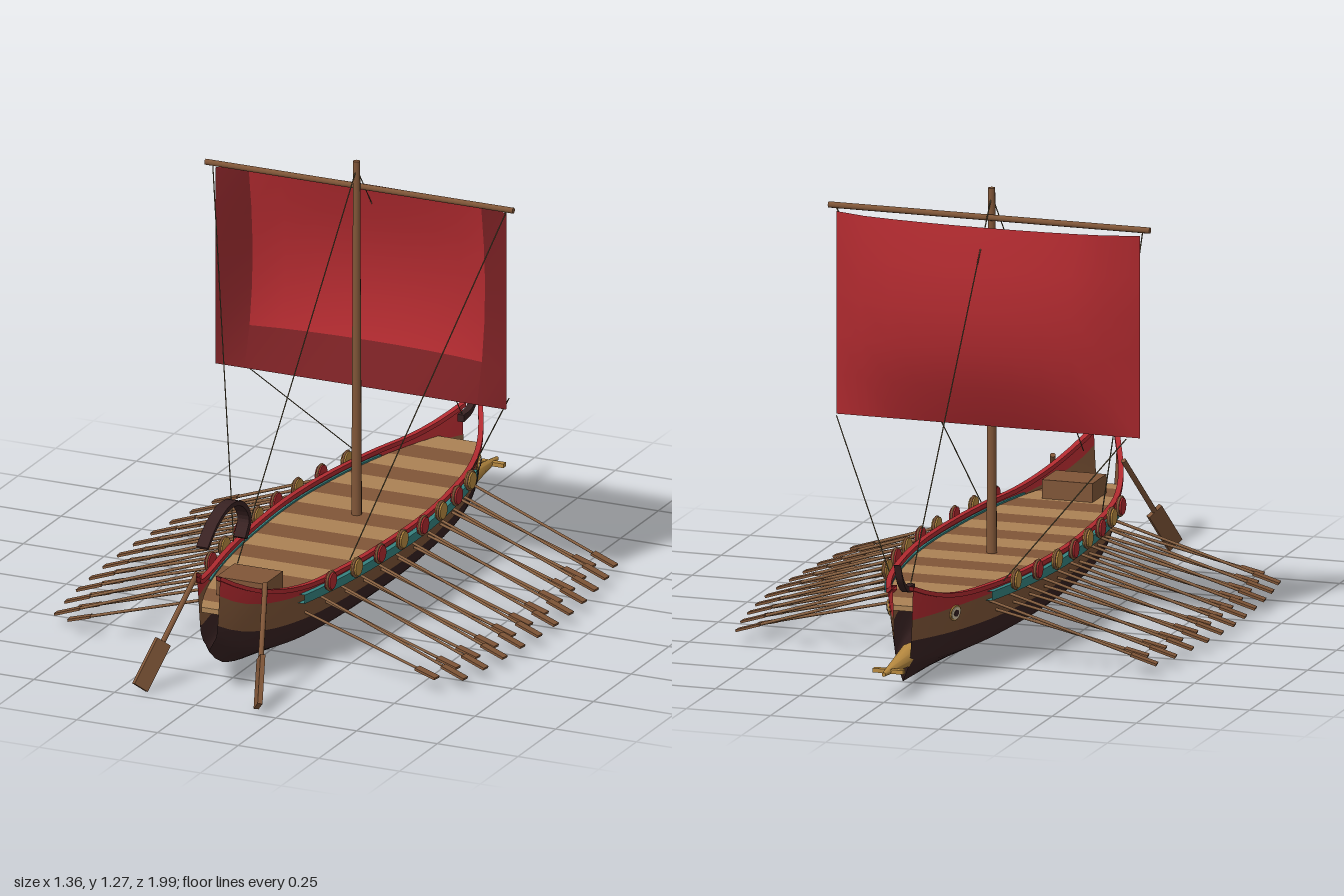
import * as THREE from 'three';

const mat = (name, color, side = THREE.FrontSide) => {
  const m = new THREE.MeshStandardMaterial({ color, side });
  m.name = name;
  return m;
};
const V = (x, y, z) => new THREE.Vector3(x, y, z);

export function createModel() {
  const ship = new THREE.Group();
  ship.name = 'galley';
  const D = THREE.DoubleSide;
  const M = {
    dark: mat('tarredWood', 0x382222, D),
    wood: mat('oakWood', 0x805638, D),
    oar: mat('oarWood', 0x8a6242),
    plank: mat('paleWood', 0xab8255),
    red: mat('redPaint', 0xb02a2f, D),
    hem: mat('darkRedCloth', 0x782023),
    teal: mat('tealPaint', 0x35827f, D),
    bronze: mat('bronze', 0xb88a40),
    rope: mat('rope', 0x6b5f42),
    pale: mat('paleEye', 0xd8c9a8),
  };
  const add = (name, geo, m, parent = ship) => {
    const mesh = new THREE.Mesh(geo, m);
    mesh.name = name;
    parent.add(mesh);
    return mesh;
  };

  // Hull stations: half width, keel, top of dark band, top of brown band, sheer
  const zs = [-0.835, -0.77, -0.68, -0.5, -0.25, -0.05, 0.2, 0.4, 0.6, 0.75, 0.85, 0.91];
  const rows = [
    0.03, 0.022, 0.14, 0.2, 0.295,
    0.062, 0.02, 0.137, 0.202, 0.268,
    0.1, 0.017, 0.134, 0.207, 0.247,
    0.155, 0.015, 0.131, 0.213, 0.24,
    0.195, 0.015, 0.13, 0.215, 0.24,
    0.208, 0.015, 0.13, 0.215, 0.24,
    0.2, 0.015, 0.13, 0.215, 0.24,
    0.182, 0.016, 0.13, 0.215, 0.24,
    0.147, 0.025, 0.135, 0.218, 0.245,
    0.105, 0.048, 0.152, 0.235, 0.275,
    0.064, 0.083, 0.18, 0.265, 0.318,
    0.035, 0.13, 0.21, 0.3, 0.355,
  ];
  const lines = new THREE.CubicInterpolant(zs, rows, 5);
  const at = (z) => {
    const [w, keel, dark, brown, sheer] = lines.evaluate(z);
    return { w, keel, dark, brown, sheer };
  };
  // Point on the hull skin at height y: straight floor, then rounded sides
  const skin = (z, y) => {
    const s = at(z);
    const t = Math.max(0, (y - s.keel) / (s.sheer - s.keel));
    const f = t < 0.18 ? t / 0.3 : 0.6 + 0.4 * Math.sqrt((t - 0.18) / 0.82);
    return V(s.w * f, y, z);
  };

  // Surface through a list of cross-sections
  const loft = (sections, closed = false) => {
    const n = sections[0].length, pos = [], idx = [];
    sections.forEach((s) => s.forEach((p) => pos.push(p.x, p.y, p.z)));
    for (let i = 0; i < sections.length - 1; i++)
      for (let j = 0; j < (closed ? n : n - 1); j++) {
        const a = i * n + j, b = i * n + ((j + 1) % n);
        idx.push(a, b, a + n, b, b + n, a + n);
      }
    let g = new THREE.BufferGeometry();
    g.setAttribute('position', new THREE.Float32BufferAttribute(pos, 3));
    g.setIndex(idx);
    if (closed) g = g.toNonIndexed();
    g.computeVertexNormals();
    return g;
  };
  const alongHull = (z0, z1, n, section) =>
    Array.from({ length: n + 1 }, (_, i) => section(z0 + ((z1 - z0) * i) / n));

  // Place a mesh along a-b, its local x leaning towards the hint
  const along = (mesh, a, b, hint = V(0, 0, 1)) => {
    const y = b.clone().sub(a).normalize();
    const z = hint.clone().cross(y).normalize();
    const x = y.clone().cross(z);
    mesh.quaternion.setFromRotationMatrix(new THREE.Matrix4().makeBasis(x, y, z));
    mesh.position.copy(a).lerp(b, 0.5);
    return mesh;
  };
  const rod = (name, a, b, r0, r1, m, parent, sides = 6) =>
    along(add(name, new THREE.CylinderGeometry(r1, r0, a.distanceTo(b), sides), m, parent), a, b);

  // Three painted bands of the hull, open at both ends
  const band = (name, lowKey, highKey, steps, m) =>
    add(name, loft(alongHull(-0.835, 0.91, 40, (z) => {
      const s = at(z), ring = [];
      for (let i = 0; i <= steps; i++)
        ring.push(skin(z, s[lowKey] + ((s[highKey] - s[lowKey]) * i) / steps));
      return ring;
    })), m);
  for (const side of [1, -1]) {
    band('lowerHull', 'keel', 'dark', 10, M.dark).scale.x = side;
    band('upperHull', 'dark', 'brown', 3, M.wood).scale.x = side;
    band('bulwark', 'brown', 'sheer', 2, M.red).scale.x = side;

    // Gunwale and teal rubbing strake
    add('gunwale', loft(alongHull(-0.835, 0.91, 40, (z) => {
      const { w, sheer } = at(z);
      return [V(w + 0.004, sheer - 0.01, z), V(w + 0.004, sheer + 0.003, z),
        V(w - 0.012, sheer + 0.003, z), V(w - 0.012, sheer - 0.01, z)];
    }), true), M.red).scale.x = side;
    add('strake', loft(alongHull(-0.53, 0.61, 28, (z) => {
      const { w } = at(z);
      return [V(w - 0.01, 0.197, z), V(w + 0.012, 0.197, z),
        V(w + 0.012, 0.223, z), V(w - 0.01, 0.223, z)];
    }), true), M.teal).scale.x = side;
  }

  // Deck of alternating crosswise planks, trimmed to the hull
  for (let i = 0; i < 17; i++) {
    const z0 = -0.75 + i * 0.094, z1 = Math.min(z0 + 0.094, 0.81);
    const shape = new THREE.Shape();
    const edge = alongHull(z0, z1, 3, (z) => skin(z, 0.21).x - 0.003);
    edge.forEach((w, k) => {
      const z = z0 + ((z1 - z0) * k) / 3;
      if (k) shape.lineTo(w, -z); else shape.moveTo(w, -z);
    });
    for (let k = 3; k >= 0; k--) shape.lineTo(-edge[k], -(z0 + ((z1 - z0) * k) / 3));
    const g = new THREE.ExtrudeGeometry(shape, { depth: 0.015, bevelEnabled: false });
    g.rotateX(-Math.PI / 2).translate(0, 0.203, 0);
    add('deckPlank', g, i % 2 ? M.wood : M.plank);
  }
  add('deckChest', new THREE.BoxGeometry(0.15, 0.055, 0.12), M.wood).position.set(0, 0.245, 0.64);

  // Two staggered tiers of oars, shields, eyes and steering oars on both sides
  for (const side of [1, -1]) {
    const S = (x, y, z) => V(side * x, y, z);
    for (let i = 0; i < 22; i++) {
      const lower = i % 2, z = -0.508 + i * 0.051, w = at(z).w;
      const oar = new THREE.Group();
      oar.name = lower ? 'lowerOar' : 'upperOar';
      ship.add(oar);
      const root = S(w - 0.02, lower ? 0.155 : 0.195, z);
      const tip = S(w + (lower ? 0.415 : 0.47), lower ? 0.042 : 0.033, z + 0.055);
      const neck = tip.clone().lerp(root, 0.15);
      rod('oarShaft', root, neck, 0.0045, 0.0045, M.oar, oar, 6);
      along(add('oarBlade', new THREE.BoxGeometry(0.026, neck.distanceTo(tip), 0.007), M.wood, oar), neck, tip);
    }
    for (let i = 0; i < 8; i++) {
      const z = 0.5 - i * 0.1307, x = at(z).w + 0.02;
      const disc = add('shield', new THREE.CylinderGeometry(0.024, 0.027, 0.016, 16), i % 2 ? M.bronze : M.red);
      disc.rotation.z = -side * Math.PI / 2;
      disc.position.set(side * x, 0.235, z);
      const rim = add('shieldRim', new THREE.TorusGeometry(0.027, 0.004, 6, 16), M.wood);
      rim.rotation.y = Math.PI / 2;
      rim.position.copy(disc.position);
    }
    const p = skin(-0.67, 0.19);
    const n = skin(-0.66, 0.19).sub(p).cross(skin(-0.67, 0.2).sub(p)).normalize();
    if (n.x < 0) n.negate();
    p.x *= side;
    n.x *= side;
    [['eyeRim', 0.023, 0.004, M.bronze], ['eye', 0.019, 0.006, M.pale], ['pupil', 0.01, 0.008, M.dark]]
      .forEach(([name, r, h, m]) => rod(name, p, p.clone().addScaledVector(n, h), r, r, m, ship, 14));

    const top = S(0.105, 0.3, 0.76), end = S(0.183, 0.015, 0.975);
    const neck = top.clone().lerp(end, 0.6);
    rod('steeringOarShaft', top, neck, 0.008, 0.008, M.wood, ship, 8);
    along(add('steeringOarBlade', new THREE.BoxGeometry(0.05, neck.distanceTo(end), 0.014), M.wood),
      neck, end, S(0.55, 0, 0.83));

    // Braces from the yard and sheets from the sail corners
    rod('brace', S(0.455, 1.185, -0.09), S(0.18, 0.25, 0.36), 0.0018, 0.0018, M.rope, ship, 4);
    rod('sheet', S(0.43, 0.6, -0.16), S(0.17, 0.24, -0.46), 0.0018, 0.0018, M.rope, ship, 4);
  }

  // Mast, yard and stays
  rod('mast', V(0, 0.2, -0.07), V(0, 1.272, -0.07), 0.015, 0.01, M.wood, ship, 12);
  rod('yard', V(-0.477, 1.19, -0.09), V(0.477, 1.19, -0.09), 0.009, 0.009, M.wood, ship, 8);
  rod('forestay', V(0, 1.25, -0.07), V(0, 0.285, -0.77), 0.0018, 0.0018, M.rope, ship, 4);
  rod('backstay', V(0, 1.25, -0.07), V(0, 0.33, 0.72), 0.0018, 0.0018, M.rope, ship, 4);

  // Sail bellying forward, with a darker hem on the mast side
  const sheet = (name, x0, x1, y0, y1, nx, ny, m, lift) => {
    const g = new THREE.PlaneGeometry(x1 - x0, y1 - y0, nx, ny);
    g.translate((x0 + x1) / 2, (y0 + y1) / 2, 0);
    const p = g.attributes.position;
    for (let i = 0; i < p.count; i++) {
      const u = Math.min(1, Math.abs(p.getX(i)) / 0.45);
      const v = Math.max(0, (p.getY(i) - 0.59) / 0.585);
      p.setZ(i, lift - 0.1 - 0.1 * Math.pow(1 - u * u, 0.6) * Math.sin(2.6 * Math.pow(v, 0.85)));
    }
    g.computeVertexNormals();
    return add(name, g, m);
  };
  sheet('sail', -0.45, 0.45, 0.59, 1.175, 10, 5, M.red, 0);
  sheet('sailHemRight', -0.45, -0.36, 0.59, 1.175, 1, 5, M.hem, 0.003);
  sheet('sailHemLeft', 0.36, 0.45, 0.59, 1.175, 1, 5, M.hem, 0.003);
  sheet('sailHemBottom', -0.36, 0.36, 0.59, 0.707, 8, 1, M.hem, 0.003);

  // Curved flat timbers: stern crest and bow horn
  const timber = (name, pts, halfWidth, t0, t1) => {
    const curve = new THREE.CatmullRomCurve3(pts.map(([z, y]) => V(0, y, z)));
    const sections = Array.from({ length: 21 }, (_, i) => {
      const c = curve.getPoint(i / 20), t = curve.getTangent(i / 20);
      const n = V(0, -t.z, t.y).multiplyScalar(t0 + ((t1 - t0) * i) / 20);
      const ring = [[-1, -1], [1, -1], [1, 1], [-1, 1]];
      return ring.map(([a, b]) => c.clone().addScaledVector(n, b).add(V(a * halfWidth, 0, 0)));
    });
    const cap = (s) => s.map(() => s[0].clone().add(s[2]).multiplyScalar(0.5));
    add(name, loft([cap(sections[0]), ...sections, cap(sections[20])], true), M.dark);
  };
  timber('sternCrest', [[0.7, 0.4], [0.672, 0.45], [0.715, 0.507], [0.8, 0.528], [0.89, 0.5], [0.953, 0.452]],
    0.018, 0.009, 0.005);
  timber('bowHorn', [[-0.76, 0.277], [-0.815, 0.284], [-0.855, 0.315], [-0.883, 0.368]], 0.01, 0.011, 0.001);

  // Bronze ram with its crossbar
  rod('ram', V(0, 0.085, -0.76), V(0, 0.079, -1), 0.033, 0.006, M.bronze, ship, 8);
  add('ramCrossbar', new THREE.BoxGeometry(0.09, 0.012, 0.018), M.bronze).position.set(0, 0.08, -0.955);

  return ship;
}
